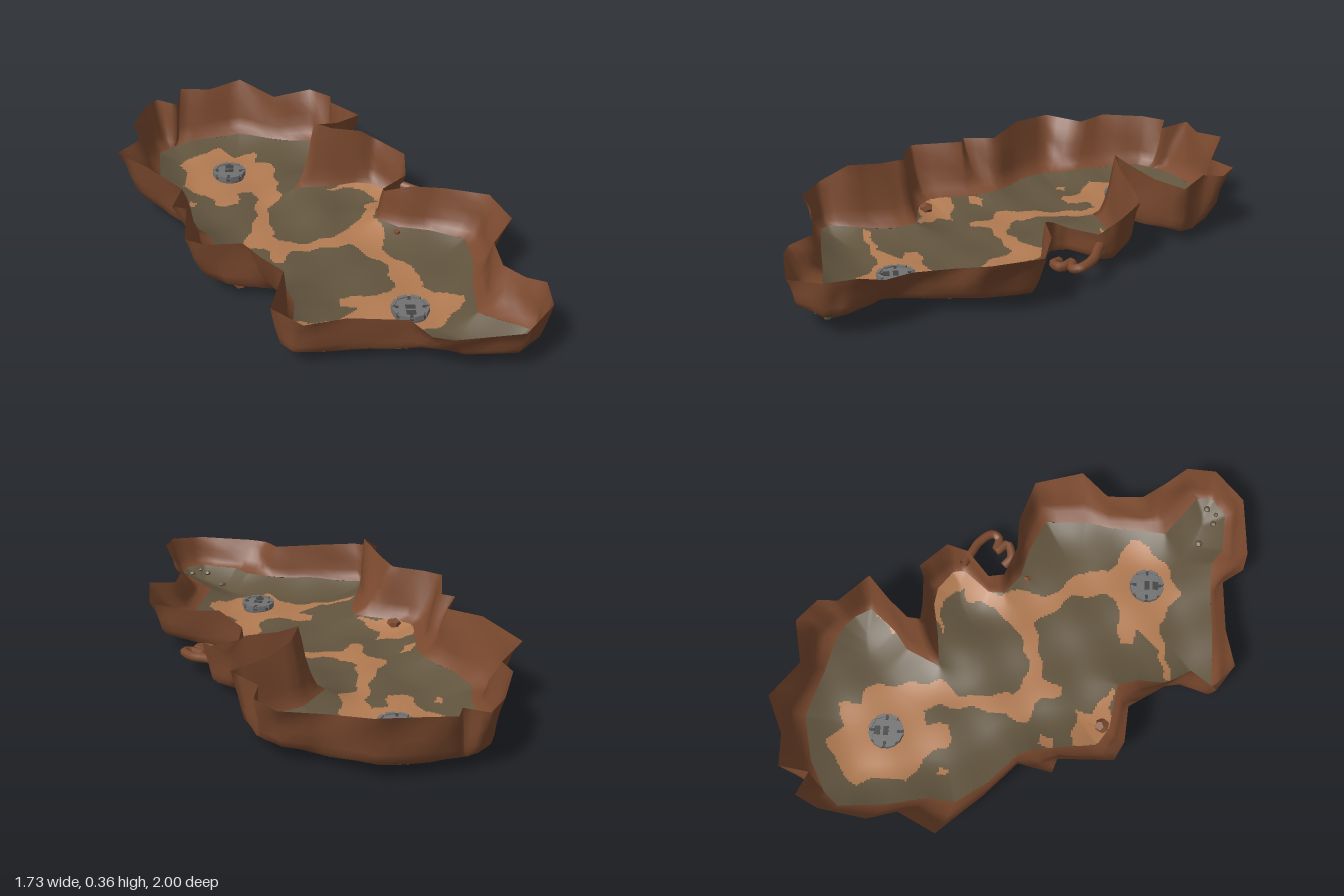
import * as THREE from 'three';

const mat = (name, color, side = THREE.FrontSide) => {
  const m = new THREE.MeshStandardMaterial({ color, side });
  m.name = name;
  return m;
};

// Foot of the cliffs (x, z in hundredths), clockwise from the back left
const FOOT = [
  -68, -77, -66, -78, -55, -84, -36, -89, -13, -83, 0, -80, 7, -77, 12, -73, 16, -66, 6, -54, -2, -48,
  -9, -33, 6, -35, 20, -38, 28, -37, 37, -31, 38, -26, 28, -14, 28, -7, 37, 0, 50, 3,
  65, 10, 66, 28, 64, 40, 63, 55, 62, 65, 80, 79, 80, 86, 72, 92, 55, 91,
  48, 86, 35, 86, 10, 87, -10, 87, -13, 84, -10, 72, -9, 55, -12, 46, -32, 43, -40, 38,
  -42, 22, -44, 10, -47, 4, -60, -8, -69, -21, -68, -32, -72, -50, -74, -70, -70, -75,
];
// Top of the cliffs (x, z, height), one point for each foot point
const RIM = [
  -65, -80, 26, -64, -92, 29, -50, -93, 28, -35, -100, 30, -18, -90, 25, 0, -94, 27, 10, -86, 27, 10, -77, 28,
  23, -65, 27, 12, -55, 28, 3, -46, 32, 1, -40, 36, 9, -40, 33, 22, -41, 31, 30, -44, 25,
  42, -33, 23, 42, -24, 17, 31, -14, 16, 31, -7, 19, 42, -2, 24, 56, -2, 23, 75, 4, 23,
  81, 25, 24, 72, 37, 20, 73, 53, 20, 80, 63, 21, 86, 72, 25, 86, 85, 24,
  74, 98, 21, 48, 100, 20, 40, 98, 20, 33, 89, 21, 10, 90, 23, -6, 94, 23, -18, 86, 25,
  -13, 74, 33, -22, 60, 30, -29, 49, 29, -44, 48, 28, -52, 44, 28, -53, 21, 28, -59, 19, 28,
  -56, 5, 28, -71, -8, 31, -87, -26, 29, -79, -42, 27, -83, -54, 29, -80, -74, 28, -75, -84, 27,
];
// Sandy trail and patches
const TRAIL = [
  -64, -64, -55, -74, -44, -79, -38, -72, -28, -77, -27, -67, -19, -64, -15, -32, -21, -21,
  -18, 0, -7, 7, 8, 3, 22, -11, 24, -24, 38, -25, 30, -16, 27, -7, 32, 3, 28, 12, 37, 21,
  44, 32, 43, 40, 59, 49, 57, 58, 48, 66, 35, 73, 19, 64, 8, 66, -10, 70, -8, 66, 6, 64,
  16, 55, 8, 51, 10, 46, 30, 45, 32, 37, 30, 24, 16, 8, -10, 13, -13, 21, -18, 21, -19, 13,
  -31, 7, -26, -13, -26, -32, -28, -39, -35, -35, -34, -26, -44, -26, -50, -37, -61, -42, -59, -53,
];
const PATCHES = [
  [-41, 27, -23, 29, -25, 36, -12, 44, -40, 43],
  [-41, 12, -36, 14, -37, 19, -42, 18],
  [5, -33, 22, -40, 38, -33, 38, -24, 30, -25, 22, -35],
  [4, -54, 13, -63, 16, -60, 10, -54],
  [-57, -30, -54, -30, -53, -25, -56, -26],
];

const pairs = (a) => Array.from({ length: a.length / 2 }, (_, i) => [a[2 * i] / 100, a[2 * i + 1] / 100]);
const foot = pairs(FOOT);
const sand = [TRAIL, ...PATCHES].map(pairs);

function inside(poly, x, z) {
  let hit = false;
  for (let i = 0, j = poly.length - 1; i < poly.length; j = i++) {
    const [ax, az] = poly[i], [bx, bz] = poly[j];
    if ((az > z) !== (bz > z) && x < ((bx - ax) * (z - az)) / (bz - az) + ax) hit = !hit;
  }
  return hit;
}

// Closest point on the cliff foot: [x, z, distance]
function nearest(x, z) {
  let best = [x, z, Infinity];
  foot.forEach(([ax, az], i) => {
    const [bx, bz] = foot[(i + 1) % foot.length];
    const dx = bx - ax, dz = bz - az;
    const t = Math.min(1, Math.max(0, ((x - ax) * dx + (z - az) * dz) / (dx * dx + dz * dz)));
    const px = ax + dx * t, pz = az + dz * t, d = Math.hypot(x - px, z - pz);
    if (d < best[2]) best = [px, pz, d];
  });
  return best;
}

// Ground height: shallow bowl, higher towards the front left corner, with one mound and ripples
function ground(x, z, d) {
  const front = THREE.MathUtils.smoothstep(z, 0.5, 0.85);
  const corner = front * (0.01 + 0.025 * THREE.MathUtils.smoothstep(x, 0.2, 0.8));
  const lip = (0.04 + corner) * Math.max(0, 1 - d / 0.18) ** 2;
  const mound = Math.exp(-((x - 0.03) ** 2 + (z + 0.2) ** 2) / 0.02);
  return 0.007 + lip + 0.03 * mound + 0.006 * Math.sin(x * 17 + z * 6) * Math.cos(z * 15 - x * 4);
}

function buildGeometry(pos, index) {
  const g = new THREE.BufferGeometry();
  g.setAttribute('position', new THREE.Float32BufferAttribute(pos, 3));
  g.setIndex(index);
  g.computeVertexNormals();
  return g;
}

// Fine grid cut to the cliff foot; cells go to the soil or the sand group
function floorGeometry() {
  const n = 240, step = 2 / n, pos = [], within = [], soil = [], sandy = [];
  for (let j = 0; j <= n; j++) for (let i = 0; i <= n; i++) {
    let x = -1 + i * step, z = -1 + j * step;
    const ok = inside(foot, x, z);
    const [px, pz, d] = nearest(x, z);
    if (!ok) { x = px; z = pz; }
    within.push(ok);
    pos.push(x, ground(x, z, ok ? d : 0), z);
  }
  for (let j = 0; j < n; j++) for (let i = 0; i < n; i++) {
    const a = j * (n + 1) + i, b = a + 1, c = a + n + 1, e = c + 1;
    if (![a, b, c, e].some((k) => within[k])) continue;
    const x = -1 + (i + 0.5) * step, z = -1 + (j + 0.5) * step;
    const wx = x + 0.008 * Math.sin(z * 45), wz = z + 0.008 * Math.sin(x * 50);
    (sand.some((p) => inside(p, wx, wz)) ? sandy : soil).push(a, c, b, b, c, e);
  }
  const g = buildGeometry(pos, [...soil, ...sandy]);
  g.addGroup(0, soil.length, 0);
  g.addGroup(soil.length, sandy.length, 1);
  return g;
}

// Cliff ring: foot to rim through a leaning profile [outward, upward]
function cliffGeometry() {
  const profile = [[0, 0], [0.34, 0.1], [0.52, 0.28], [0.67, 0.54], [0.84, 0.8], [1, 1]];
  const n = foot.length, sub = 3, rows = n * sub, w = profile.length, pos = [], index = [];
  for (let r = 0; r < rows; r++) {
    const i = Math.floor(r / sub), k = (i + 1) % n, t = (r % sub) / sub;
    const mix = (a, b) => a + (b - a) * t;
    const bx = mix(foot[i][0], foot[k][0]), bz = mix(foot[i][1], foot[k][1]);
    const [rx, rz, ry] = [0, 1, 2].map((c) => mix(RIM[3 * i + c], RIM[3 * k + c]) / 100);
    const by = ground(bx, bz, 0);
    profile.forEach(([o, u], p) => {
      const s = o + 0.08 * Math.sin(u * Math.PI) * Math.sin(r * 0.9 + p);
      pos.push(bx + (rx - bx) * s, by + (ry - by) * u, bz + (rz - bz) * s);
      if (p === w - 1) return;
      const a = r * w + p, b = ((r + 1) % rows) * w + p;
      index.push(a, b, a + 1, b, b + 1, a + 1);
    });
  }
  return buildGeometry(pos, index);
}

export function createModel() {
  const model = new THREE.Group();
  const soil = mat('olive soil', 0x62553f, THREE.DoubleSide);
  const sandMat = mat('orange sand', 0xb27b52, THREE.DoubleSide);
  const rock = mat('red brown rock', 0x7c4a2f, THREE.DoubleSide);
  const stone = mat('grey stone', 0x727272);
  const dark = mat('dark stone', 0x444444);

  const add = (parent, name, geo, material, x = 0, y = 0, z = 0) => {
    const m = new THREE.Mesh(geo, material);
    m.name = name;
    m.position.set(x, y, z);
    parent.add(m);
    return m;
  };

  add(model, 'canyonFloor', floorGeometry(), [soil, sandMat]);
  add(model, 'cliffWalls', cliffGeometry(), rock);

  // Natural rock loop beside the right wall
  const loop = new THREE.CatmullRomCurve3([
    [0.38, 0.12, -0.26], [0.44, 0.11, -0.23], [0.5, 0.1, -0.2], [0.55, 0.09, -0.14],
    [0.53, 0.08, -0.11], [0.47, 0.08, -0.12], [0.51, 0.08, -0.07], [0.45, 0.07, -0.05],
    [0.41, 0.06, -0.08],
  ].map((p) => new THREE.Vector3(...p)));
  add(model, 'rockArch', new THREE.TubeGeometry(loop, 36, 0.02, 7), rock);

  // Round stone platforms
  for (const [x, z] of [[-0.395, -0.535], [0.368, 0.575]]) {
    const pad = new THREE.Group();
    pad.name = 'stonePlatform';
    pad.position.set(x, 0, z);
    model.add(pad);
    add(pad, 'platformBase', new THREE.CylinderGeometry(0.074, 0.07, 0.024, 24), stone, 0, 0.012, 0);
    add(pad, 'platformRing', new THREE.CylinderGeometry(0.075, 0.075, 0.006, 24), dark, 0, 0.025, 0);
    add(pad, 'platformTop', new THREE.CylinderGeometry(0.069, 0.07, 0.01, 24), stone, 0, 0.031, 0);
    for (let i = 0; i < 8; i++) {
      const a = ((i + 0.5) * Math.PI) / 4;
      const block = add(pad, 'rimBlock', new THREE.BoxGeometry(0.014, 0.024, 0.042), stone,
        Math.cos(a) * 0.068, 0.03, Math.sin(a) * 0.068);
      block.rotation.y = -a;
    }
    for (let i = 0; i < 4; i++) {
      const a = (i * Math.PI) / 2;
      const notch = add(pad, 'rimNotch', new THREE.BoxGeometry(0.02, 0.008, 0.012), dark,
        Math.cos(a) * 0.058, 0.036, Math.sin(a) * 0.058);
      notch.rotation.y = -a;
    }
    const flip = z < 0 ? -1 : 1;
    add(pad, 'centrePanel', new THREE.BoxGeometry(0.04, 0.006, 0.022), dark, 0, 0.036, 0);
    add(pad, 'sidePanel', new THREE.BoxGeometry(0.038, 0.006, 0.026), dark, 0, 0.036, flip * 0.038);
  }

  // Loose boulders
  for (const [x, z, r, m] of [[0.6, 0.81, 0.018, soil], [0.69, 0.87, 0.016, soil], [0.76, 0.84, 0.016, soil],
    [0.73, 0.88, 0.011, soil], [-0.31, 0.4, 0.034, rock], [0.36, 0.03, 0.016, rock]]) {
    const b = add(model, 'boulder', new THREE.DodecahedronGeometry(r), m, x, ground(x, z, nearest(x, z)[2]) + r * 0.3, z);
    b.scale.y = 0.7;
    b.rotation.y = z * 9;
  }
  return model;
}
